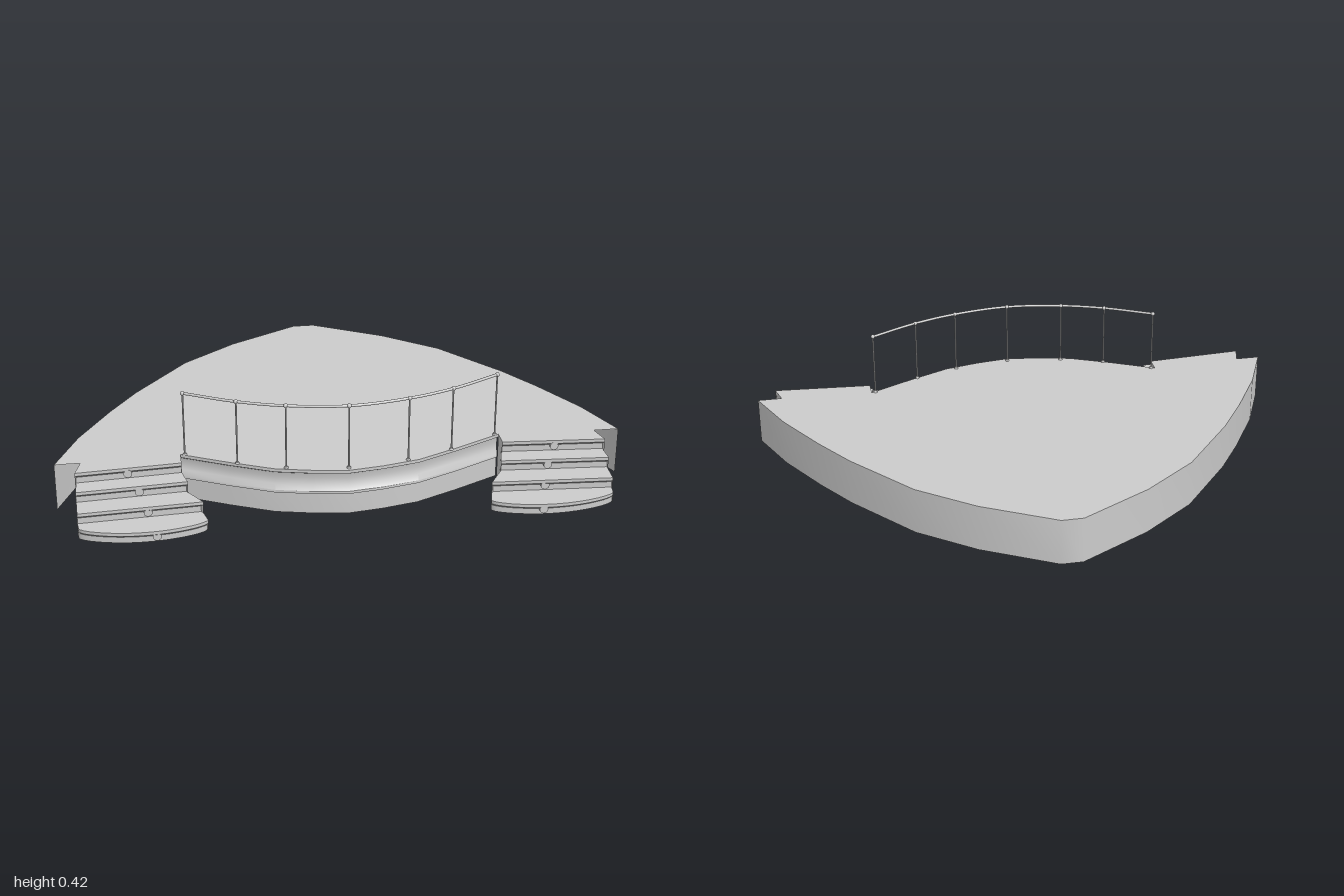
import * as THREE from 'three';
import { toCreasedNormals } from 'three/addons/utils/BufferGeometryUtils.js';

const H = 0.175; // deck height
const mat = new THREE.MeshStandardMaterial({ color: 0xcccccc, side: THREE.DoubleSide });

function mesh(geometry, name, parent) {
  const m = new THREE.Mesh(geometry, mat);
  m.name = name;
  parent.add(m);
  return m;
}

// Surface through rows of points (rows run top to bottom, points left to right)
function sheet(rows, crease = 0.6) {
  const n = rows[0].length, index = [];
  for (let i = 0; i < rows.length - 1; i++) {
    for (let j = 0; j < n - 1; j++) {
      const a = i * n + j, b = a + n;
      index.push(a, b, b + 1, a, b + 1, a + 1);
    }
  }
  const g = new THREE.BufferGeometry();
  g.setAttribute('position', new THREE.Float32BufferAttribute(rows.flat(2), 3));
  g.setIndex(index);
  return toCreasedNormals(g, crease);
}

// Linear interpolation in a table of [key, value]
function lookup(table, k) {
  if (k <= table[0][0]) return table[0][1];
  for (let i = 1; i < table.length; i++) {
    const [k0, v0] = table[i - 1], [k1, v1] = table[i];
    if (k <= k1) return v0 + (v1 - v0) * (k - k0) / (k1 - k0);
  }
  return table[table.length - 1][1];
}

const mirrorX = (pts) => pts.map(([x, z]) => [-x, z]).reverse();

// Plan outlines as [x, z], right half from the wing to the middle
const backHalf = [[1, 0.4], [0.915, 0.205], [0.8, 0.01], [0.7, -0.14], [0.5, -0.385], [0.3, -0.54], [0.04, -0.685]];
const back = [...backHalf, ...mirrorX(backHalf)];
const frontHalf = [[0, 0.578], [0.12, 0.562], [0.25, 0.533], [0.4, 0.465], [0.565, 0.382]];
const front = [...mirrorX(frontHalf).slice(0, -1), ...frontHalf];

// Stair plan: inner and outer edge by depth
const innerEdge = [[0.38, 0.565], [0.45, 0.565], [0.5, 0.55], [0.56, 0.505], [0.62, 0.49]];
const outerEdge = [[0.4, 0.91], [0.47, 0.93], [0.58, 0.93], [0.62, 0.925]];
const noses = [0.445, 0.502, 0.572, 0.62];
const RISE = H / 4, LIP = 0.012;

function noseZ(k, u) {
  return k < 3 ? noses[k] + 0.026 * u : noses[3] + 0.056 * Math.pow(Math.max(0, Math.sin(Math.PI * u)), 0.6);
}

function buildStair(side) {
  const stair = new THREE.Group();
  stair.name = side > 0 ? 'leftStair' : 'rightStair';
  const order = (row) => (side > 0 ? row : row.slice().reverse());
  const us = Array.from({ length: 17 }, (_, i) => (1 - Math.cos(Math.PI * i / 16)) / 2);
  const makeRow = (zAt, y) => us.map((u) => {
    const z = zAt(u);
    const xi = lookup(innerEdge, z), xo = lookup(outerEdge, z);
    return [side * (xi + (xo - xi) * u), y, z];
  });

  // Treads with projecting noses and recessed risers
  const rows = [makeRow((u) => 0.382 + 0.018 * u, H)];
  for (let k = 0; k < 4; k++) {
    const top = H - k * RISE;
    const nose = (u) => noseZ(k, u), riser = (u) => noseZ(k, u) - LIP;
    rows.push(makeRow(nose, top), makeRow(nose, top - 0.012), makeRow(riser, top - 0.022), makeRow(riser, top - RISE));
  }
  mesh(sheet(rows.map(order)), 'steps', stair);

  // Side walls down to the ground
  const drop = (p) => [p[0], 0, p[2]];
  const inner = rows.map((r) => r[0]);
  const outer = rows.map((r) => r[r.length - 1]).reverse();
  for (const [edge, name] of [[inner, 'innerSideWall'], [outer, 'outerSideWall']]) {
    mesh(sheet([order(edge), order(edge.map(drop))]), name, stair);
  }

  // Round step lights, one on each riser
  [0.75, 0.715, 0.69, 0.665].forEach((x, k) => {
    const u = (x - 0.53) / 0.4;
    const light = mesh(new THREE.CylinderGeometry(0.015, 0.015, 0.012, 14), 'stepLight', stair);
    light.rotation.x = Math.PI / 2;
    light.position.set(side * x, H - (k + 0.5) * RISE, noseZ(k, u) - 0.006);
  });
  return stair;
}

function buildRailing() {
  const railing = new THREE.Group();
  railing.name = 'railing';
  const posts = [[-0.55, 0.385], [-0.375, 0.475], [-0.212, 0.53], [0, 0.56], [0.212, 0.53], [0.375, 0.475], [0.55, 0.385]];
  const top = 0.411;
  const curve = new THREE.CatmullRomCurve3(posts.map(([x, z]) => new THREE.Vector3(x, top, z)));
  mesh(new THREE.TubeGeometry(curve, 48, 0.005, 8), 'handrail', railing);
  for (const [x, z] of posts) {
    mesh(new THREE.CylinderGeometry(0.003, 0.003, top - H, 8), 'post', railing)
      .position.set(x, (top + H) / 2, z);
    mesh(new THREE.SphereGeometry(0.008, 10, 8), 'postCap', railing).position.set(x, top, z);
    mesh(new THREE.CylinderGeometry(0.006, 0.008, 0.006, 10), 'postFoot', railing).position.set(x, H + 0.003, z);
  }
  return railing;
}

export function createModel() {
  const model = new THREE.Group();
  model.name = 'stage';

  // Deck floor
  const outline = [...back, [-0.91, 0.4], ...front, [0.91, 0.4]];
  const shape = new THREE.Shape(outline.map(([x, z]) => new THREE.Vector2(x, -z)));
  const deck = mesh(new THREE.ShapeGeometry(shape).rotateX(-Math.PI / 2), 'deck', model);
  deck.position.y = H;

  // Curved wall around the back
  mesh(sheet([H, 0].map((y) => back.map(([x, z]) => [x, y, z]))), 'backWall', model);

  // Moulded front wall: lip, cove, ledge and plinth
  const profile = [[0, H], [0, 0.163], [0.014, 0.155], [0.018, 0.135], [0.015, 0.11], [0.002, 0.092], [0.002, 0.082], [0.014, 0.078], [0.014, 0]];
  mesh(sheet(profile.map(([inset, y]) => front.map(([x, z]) => [x, y, z - inset]))), 'frontWall', model);

  model.add(buildStair(1), buildStair(-1), buildRailing());
  return model;
}
